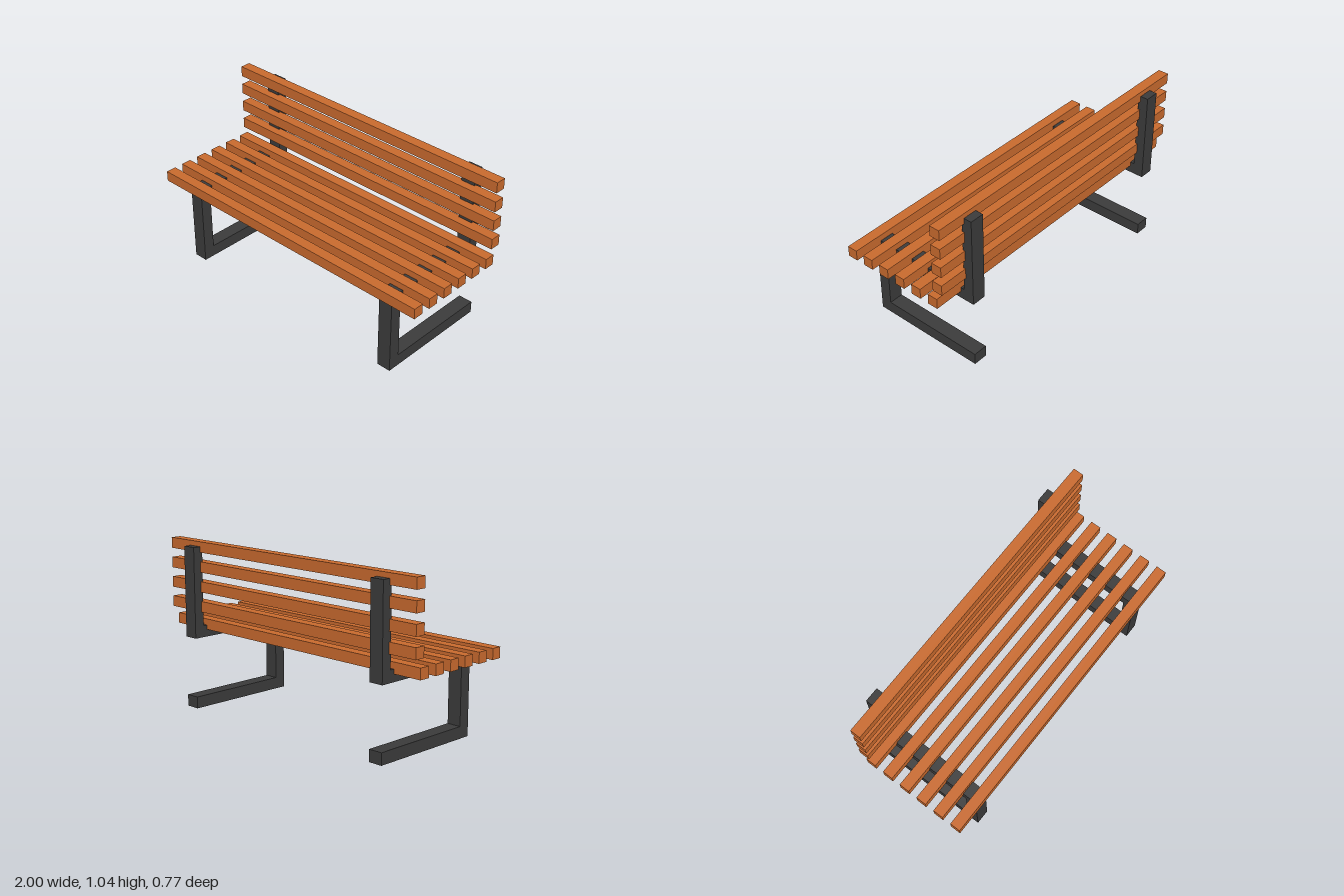
import * as THREE from 'three';

const wood = new THREE.MeshStandardMaterial({ color: 0xc96a2e });
const metal = new THREE.MeshStandardMaterial({ color: 0x3b3b3b });

// Side outline of a support as (z, y): foot, front leg, seat rail, back post
const OUTLINE = [
  [0.352, 0], [0.352, 0.516], [-0.32, 0.516], [-0.32, 1.008], [-0.385, 1.008],
  [-0.385, 0.444], [0.28, 0.444], [0.28, 0.073], [-0.385, 0.073], [-0.385, 0],
];
const FRAME_WIDTH = 0.09;
const SLAT = 0.066;

export function createModel() {
  const bench = new THREE.Group();
  bench.name = 'bench';

  // Two supports, extruded across x
  const shape = new THREE.Shape(OUTLINE.map(([z, y]) => new THREE.Vector2(z, y)));
  const frameGeometry = new THREE.ExtrudeGeometry(shape, { depth: FRAME_WIDTH, bevelEnabled: false });
  frameGeometry.translate(0, 0, -FRAME_WIDTH / 2).rotateY(-Math.PI / 2);
  for (const [name, x] of [['leftFrame', 0.77], ['rightFrame', -0.77]]) {
    const frame = new THREE.Mesh(frameGeometry, metal);
    frame.name = name;
    frame.position.x = x;
    bench.add(frame);
  }

  // Full-length wooden slats
  const slatGeometry = new THREE.BoxGeometry(2, SLAT, SLAT);
  const addSlat = (name, y, z) => {
    const slat = new THREE.Mesh(slatGeometry, wood);
    slat.name = name;
    slat.position.set(0, y, z);
    bench.add(slat);
  };
  for (let i = 0; i < 6; i++) addSlat(`seatSlat${i + 1}`, 0.522, 0.353 - i * 0.1229);
  for (let i = 0; i < 4; i++) addSlat(`backSlat${i + 1}`, 0.637 + i * 0.1227, -0.302);

  return bench;
}
